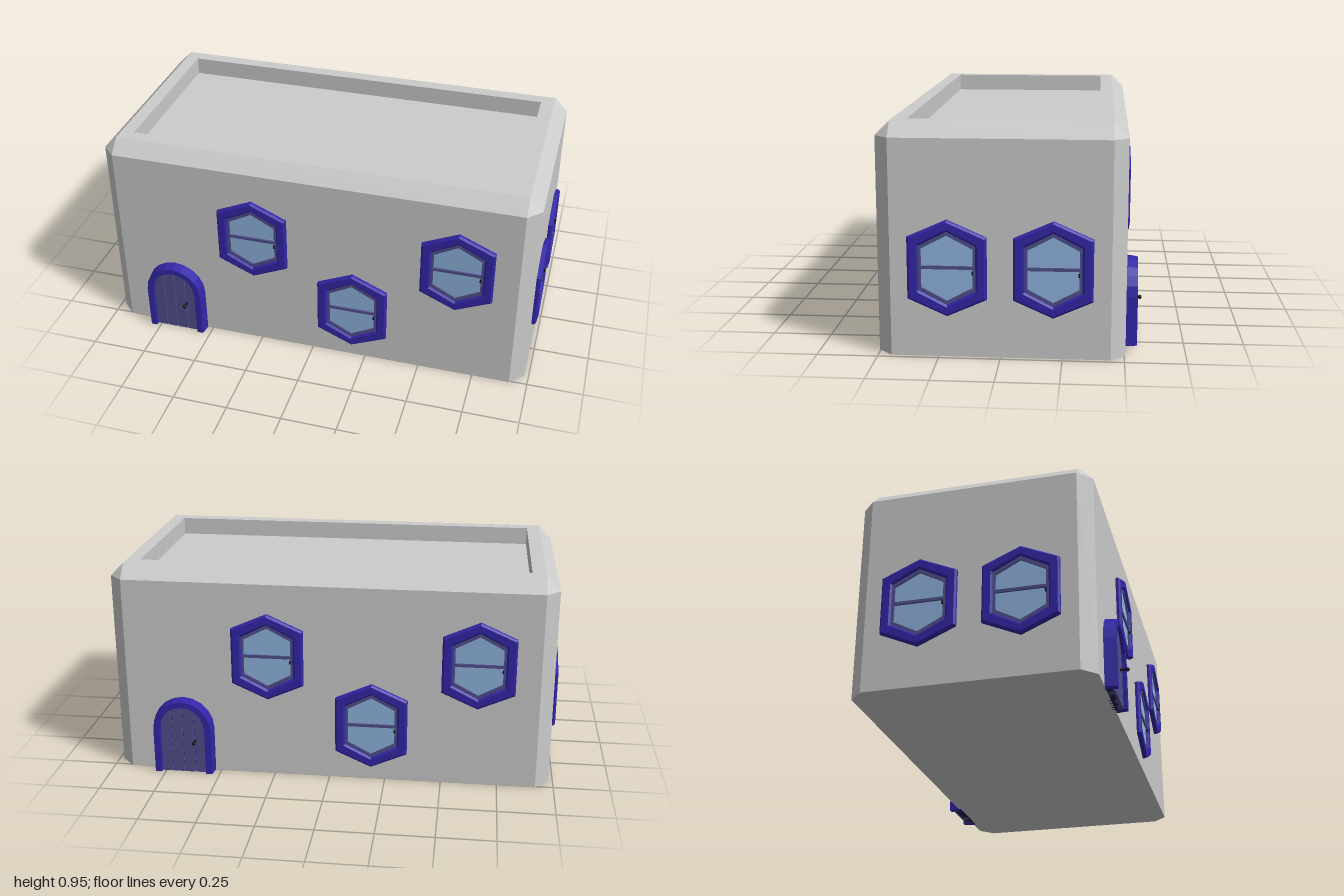
import * as THREE from 'three';

const mat = (color) => new THREE.MeshStandardMaterial({ color, flatShading: true });
const grey = mat(0xcccccc), blue = mat(0x3326a8), slate = mat(0x504f8c);
const glassMat = mat(0x8fb4e0), black = mat(0x101010);

function add(parent, name, geometry, material, x = 0, y = 0, z = 0) {
  const mesh = new THREE.Mesh(geometry, material);
  mesh.name = name;
  mesh.position.set(x, y, z);
  parent.add(mesh);
  return mesh;
}

// Eight-point ring with cut corners; c = 0 gives a rectangle
function ring(X, Z, c, y) {
  const a = X - c, b = Z - c;
  return [[X, -b], [X, b], [a, Z], [-a, Z], [-X, b], [-X, -b], [-a, -Z], [a, -Z]]
    .map(([x, z]) => new THREE.Vector3(x, y, z));
}

// Closed shell running from the underside, up the walls and into the roof recess
function shellGeometry() {
  const rings = [
    ring(0, 0, 0, 0), ring(0.98, 0.505, 0.06, 0), ring(0.98, 0.505, 0.06, 0.895),
    ring(0.92, 0.445, 0, 0.955), ring(0.86, 0.385, 0, 0.955),
    ring(0.86, 0.385, 0, 0.875), ring(0, 0, 0, 0.875),
  ];
  const pos = [];
  const tri = (...p) => {
    if (new THREE.Triangle(...p).getArea() > 1e-7) p.forEach((v) => pos.push(v.x, v.y, v.z));
  };
  for (let k = 0; k < rings.length - 1; k++) {
    for (let i = 0; i < 8; i++) {
      const j = (i + 1) % 8, lo = rings[k], up = rings[k + 1];
      tri(lo[i], up[i], up[j]);
      tri(lo[i], up[j], lo[j]);
    }
  }
  const g = new THREE.BufferGeometry();
  g.setAttribute('position', new THREE.Float32BufferAttribute(pos, 3));
  g.computeVertexNormals();
  return g;
}

// Upright hexagon: half width, half height, half height of the vertical sides
const hexagon = (w, h, s) => [[0, h], [-w, s], [-w, -s], [0, -h], [w, -s], [w, s]]
  .map(([x, y]) => new THREE.Vector2(x, y));

// Round-headed outline standing on y = 0
function arch(r, spring, rise) {
  const pts = [new THREE.Vector2(-r, 0), new THREE.Vector2(r, 0)];
  for (let i = 0; i <= 10; i++) {
    const t = (i / 10) * Math.PI;
    pts.push(new THREE.Vector2(r * Math.cos(t), spring + rise * Math.sin(t)));
  }
  return pts;
}

// Extruded outline whose front lies at z = front, with an optional hole and bevel
function plate(outer, inner, back, front, bevel = 0) {
  const shape = new THREE.Shape(outer);
  if (inner) shape.holes.push(new THREE.Path(inner));
  const g = new THREE.ExtrudeGeometry(shape, {
    depth: front - back - 2 * bevel, bevelEnabled: bevel > 0, bevelSegments: 1,
    bevelSize: bevel, bevelThickness: bevel, bevelOffset: -bevel,
  });
  return g.translate(0, 0, back + bevel);
}

function makeWindow() {
  const g = new THREE.Group();
  g.name = 'window';
  add(g, 'windowFrame', plate(hexagon(0.16, 0.198, 0.127), hexagon(0.115, 0.151, 0.092), -0.02, 0.02, 0.008), blue);
  add(g, 'windowSash', plate(hexagon(0.125, 0.161, 0.098), hexagon(0.104, 0.135, 0.08), -0.01, 0.012), slate);
  add(g, 'glass', plate(hexagon(0.11, 0.142, 0.085), null, -0.01, 0.005), glassMat);
  add(g, 'crossbar', new THREE.BoxGeometry(0.212, 0.013, 0.016), slate, 0, 0.003, 0.005);
  add(g, 'latch', new THREE.BoxGeometry(0.006, 0.014, 0.008), black, 0.103, -0.018, 0.014);
  return g;
}

function makeDoor() {
  const g = new THREE.Group();
  g.name = 'door';
  // Surround, open at the foot
  const outer = arch(0.14, 0.213, 0.142), inner = arch(0.103, 0.213, 0.108);
  const outline = [...outer.slice(1), outer[0], ...inner.slice(2).reverse().slice(0, -1)];
  outline.push(inner[2], inner[1]);
  const band = [...outer.slice(1), inner[0], ...inner.slice(2).reverse(), inner[1]];
  band.splice(outer.length - 1, 0, outer[0]);
  const frame = plate(band, null, -0.01, 0.05);
  // Slight taper towards the front
  const p = frame.attributes.position;
  for (let i = 0; i < p.count; i++) {
    const x = p.getX(i), y = p.getY(i);
    if (p.getZ(i) > 0.04 && Math.hypot(x, Math.max(0, y - 0.213)) > 0.125) {
      p.setX(i, x * 0.94);
      if (y > 0.213) p.setY(i, 0.213 + (y - 0.213) * 0.94);
    }
  }
  frame.computeVertexNormals();
  add(g, 'doorFrame', frame, blue);
  // Planks separated by grooves in front of a dark backing
  add(g, 'doorBacking', plate(arch(0.105, 0.213, 0.11), null, -0.01, 0.024), mat(0x201d50));
  const top = (x) => 0.213 + 0.108 * Math.sqrt(Math.max(0, 1 - (x / 0.104) ** 2));
  for (let i = 0; i < 4; i++) {
    const x0 = -0.103 + i * 0.0515 + 0.002, x1 = x0 + 0.0475;
    const pts = [new THREE.Vector2(x0, 0), new THREE.Vector2(x1, 0)];
    for (let k = 0; k <= 4; k++) {
      const x = x1 + (x0 - x1) * (k / 4);
      pts.push(new THREE.Vector2(x, top(x)));
    }
    add(g, 'plank', plate(pts, null, 0, 0.034), slate);
  }
  // Knob on a short stem
  const stem = add(g, 'knobStem', new THREE.CylinderGeometry(0.004, 0.006, 0.034, 8), black, 0.056, 0.155, 0.047);
  stem.rotation.x = Math.PI / 2;
  add(g, 'knob', new THREE.SphereGeometry(0.009, 10, 8), black, 0.056, 0.155, 0.064);
  return g;
}

export function createModel() {
  const model = new THREE.Group();
  model.name = 'house';
  add(model, 'walls', shellGeometry(), grey);

  // Each half carries one long facade and one end; the second is turned half way round
  for (const [name, turn] of [['frontHalf', 0], ['backHalf', Math.PI]]) {
    const half = new THREE.Group();
    half.name = name;
    half.rotation.y = turn;
    for (const [x, y] of [[-0.275, 0.565], [0.187, 0.26], [0.652, 0.565]]) {
      const w = makeWindow();
      w.position.set(x, y, 0.505);
      half.add(w);
    }
    for (const z of [-0.213, 0.213]) {
      const w = makeWindow();
      w.position.set(0.98, 0.372, z);
      w.rotation.y = Math.PI / 2;
      half.add(w);
    }
    const door = makeDoor();
    door.position.set(-0.665, 0, 0.505);
    half.add(door);
    model.add(half);
  }
  return model;
}
